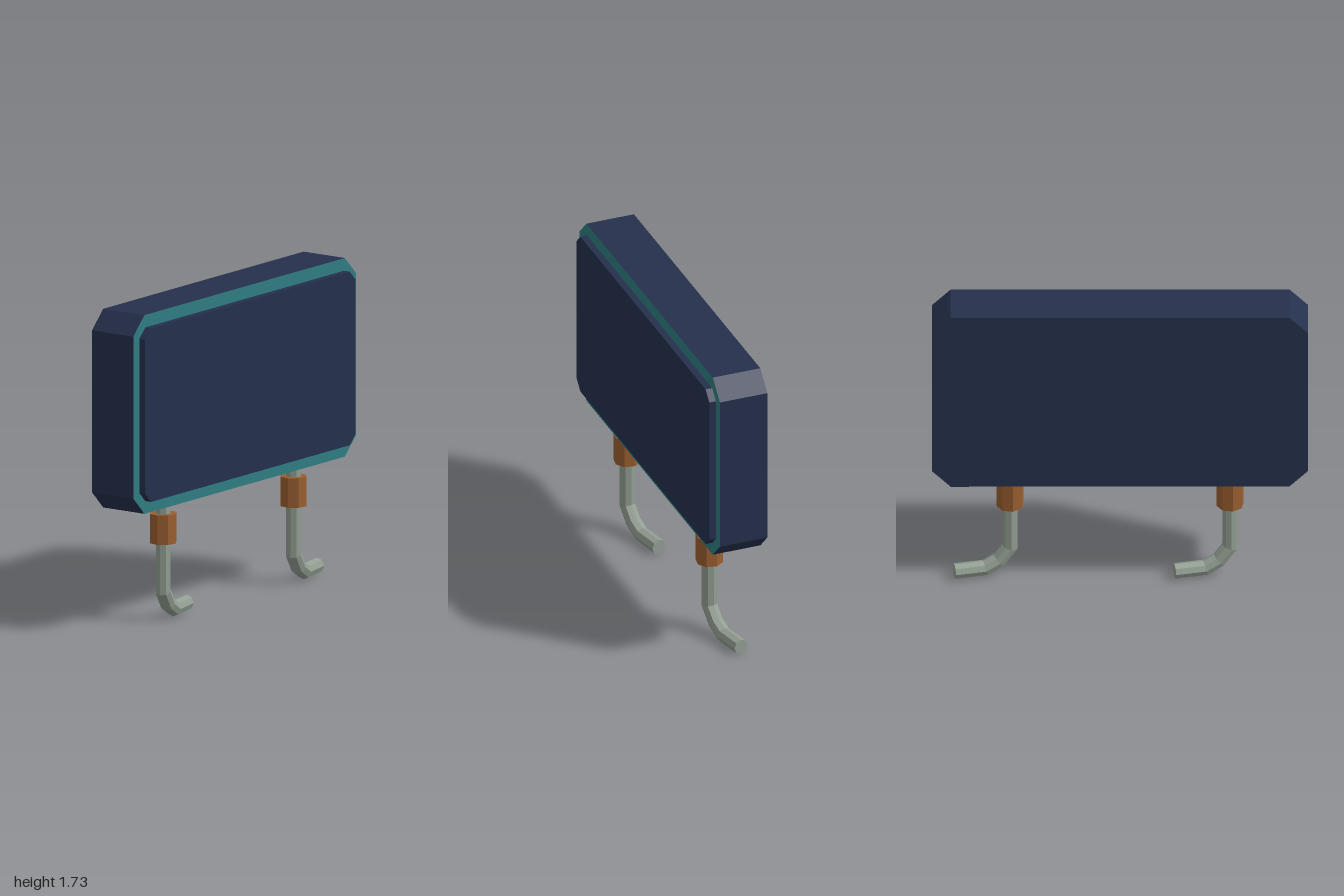
import * as THREE from 'three';

const mat = (name, color) => {
  const m = new THREE.MeshStandardMaterial({ color, flatShading: true });
  m.name = name;
  return m;
};

// Rectangle with cut corners, extruded from z0 to z1
function chamferedSlab(w, y0, y1, c, z0, z1) {
  const x = w / 2;
  const outline = [
    [-x + c, y0], [x - c, y0], [x, y0 + c], [x, y1 - c],
    [x - c, y1], [-x + c, y1], [-x, y1 - c], [-x, y0 + c],
  ].map(([a, b]) => new THREE.Vector2(a, b));
  const geo = new THREE.ExtrudeGeometry(new THREE.Shape(outline), { depth: z1 - z0, bevelEnabled: false });
  return geo.translate(0, 0, z0);
}

// Octagonal pipe swept along a path in the xy plane with mitred joints
function mitredPipe(path, r, sides = 8) {
  const pts = path.map(([x, y]) => new THREE.Vector2(x, y));
  const pos = [], index = [];
  const last = pts.length - 1;
  pts.forEach((p, i) => {
    const before = p.clone().sub(pts[Math.max(i - 1, 0)]).normalize();
    const after = pts[Math.min(i + 1, last)].clone().sub(p).normalize();
    const dir = before.clone().add(after).normalize();
    const miter = i === 0 || i === last ? 1 : 1 / dir.dot(after);
    for (let k = 0; k < sides; k++) {
      const a = (k / sides) * Math.PI * 2;
      const n = Math.cos(a) * r * miter;
      pos.push(p.x - dir.y * n, p.y + dir.x * n, Math.sin(a) * r);
    }
  });
  for (let i = 0; i < last; i++) {
    for (let k = 0; k < sides; k++) {
      const a = i * sides + k, b = i * sides + ((k + 1) % sides);
      index.push(a, b, b + sides, a, b + sides, a + sides);
    }
  }
  // End caps
  for (let k = 1; k < sides - 1; k++) {
    index.push(0, k + 1, k);
    index.push(last * sides, last * sides + k, last * sides + k + 1);
  }
  const geo = new THREE.BufferGeometry();
  geo.setAttribute('position', new THREE.Float32BufferAttribute(pos, 3));
  geo.setIndex(index);
  const flat = geo.toNonIndexed();
  flat.computeVertexNormals();
  return flat;
}

export function createModel() {
  const navy = mat('navy', 0x25304d);
  const teal = mat('teal', 0x2e7d80);
  const copper = mat('copper', 0x9a5f30);
  const steel = mat('greySteel', 0x929e92);

  const model = new THREE.Group();
  model.name = 'panelOnPipes';
  const add = (parent, name, geo, material) => {
    const mesh = new THREE.Mesh(geo, material);
    mesh.name = name;
    parent.add(mesh);
    return mesh;
  };

  // Housing with a teal front rim and a raised front panel
  add(model, 'housing', chamferedSlab(2, 0.65, 1.73, 0.1, -0.155, 0.113), navy);
  const rim = chamferedSlab(2, 0.65, 1.73, 0.1, 0.113, 0.117);
  add(model, 'frontRim', rim, [teal, navy]);
  add(model, 'frontPanel', chamferedSlab(1.89, 0.718, 1.662, 0.053, 0.115, 0.155), navy);

  // Two bent pipes, each with a collar
  const path = [[0, 0.7], [0, 0.16], [0.06, 0.082], [0.135, 0.042], [0.302, 0.042]];
  for (const side of [-1, 1]) {
    const leg = new THREE.Group();
    leg.name = side < 0 ? 'rightPipe' : 'leftPipe';
    leg.position.set(side * 0.585, 0, 0.01);
    leg.rotation.y = 0.21;
    add(leg, 'bentPipe', mitredPipe(path, 0.042), steel);
    const collar = new THREE.CylinderGeometry(0.074, 0.074, 0.16, 8).rotateY(Math.PI / 2);
    add(leg, 'collar', collar, copper).position.y = 0.507;
    model.add(leg);
  }
  return model;
}
